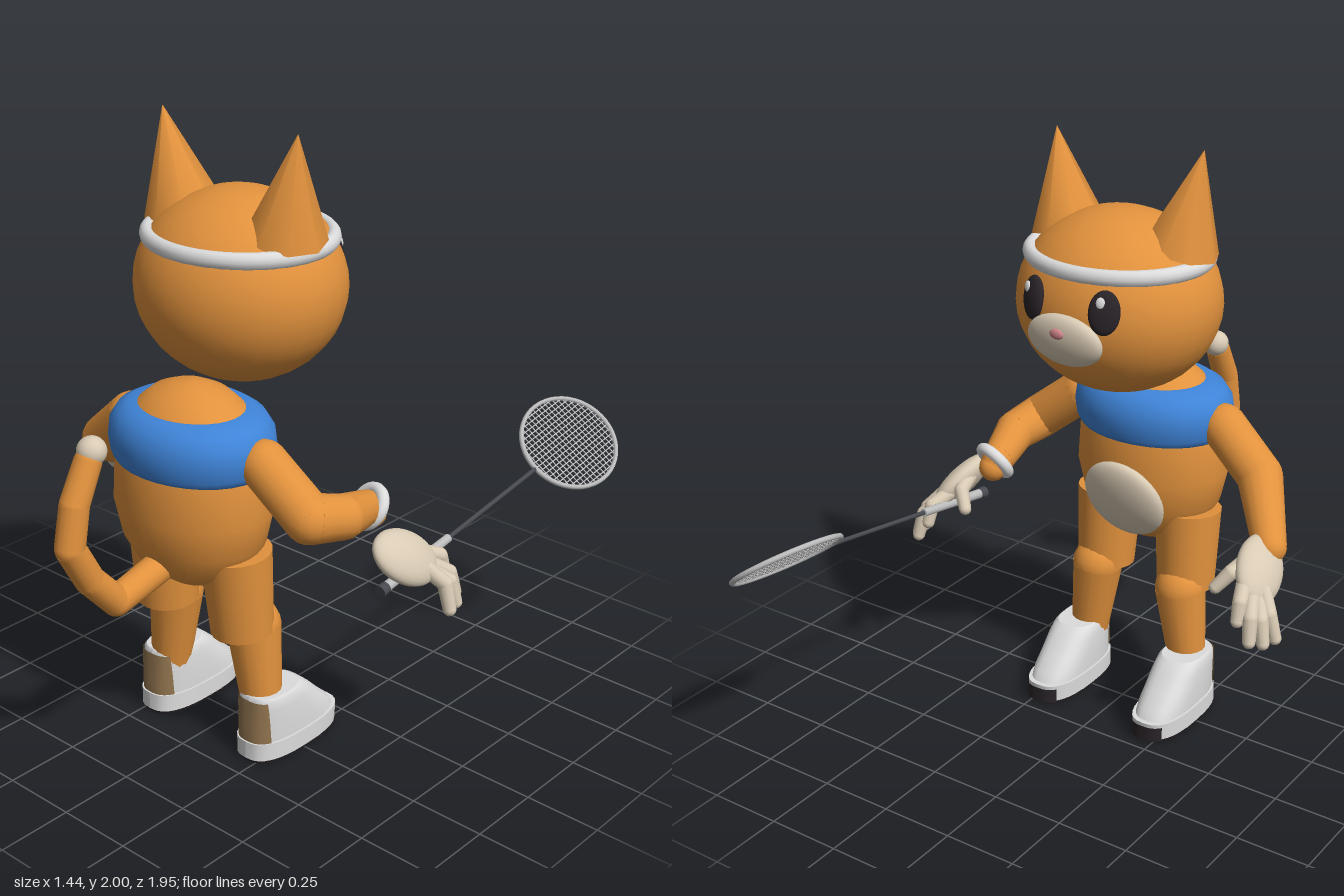
import * as THREE from 'three';
import { mergeGeometries } from 'three/addons/utils/BufferGeometryUtils.js';

const V = (x, y, z) => new THREE.Vector3(x, y, z);
const UP = V(0, 1, 0);

export function createModel() {
  const mat = (name, color, side = THREE.FrontSide) => {
    const m = new THREE.MeshStandardMaterial({ color, side });
    m.name = name;
    return m;
  };
  const orange = mat('orange fur', 0xe2923d);
  const blue = mat('blue collar', 0x3f84d8);
  const cream = mat('cream', 0xd8cab4);
  const white = mat('white', 0xdcdcdc);
  const black = mat('black', 0x2a2428);
  const pink = mat('pink', 0xd0848a);
  const tan = mat('heel tan', 0x937650, THREE.DoubleSide);
  const silver = mat('silver', 0xbcbcbc);
  const graphite = mat('graphite', 0x484a50);
  const red = mat('sole red', 0x8a2424);

  const model = new THREE.Group();
  const add = (name, geo, material, parent = model) => {
    const m = new THREE.Mesh(geo, material);
    m.name = name;
    parent.add(m);
    return m;
  };
  const group = (name, parent = model) => {
    const g = new THREE.Group();
    g.name = name;
    parent.add(g);
    return g;
  };
  const ball = (name, pos, radii, material, parent) => {
    const m = add(name, new THREE.SphereGeometry(1, 28, 20), material, parent);
    m.position.copy(pos);
    m.scale.copy(radii);
    return m;
  };
  // tapered round bar from a to b
  const bar = (a, b, r0, r1, seg = 16) => {
    const d = b.clone().sub(a);
    const g = new THREE.CylinderGeometry(r1, r0, d.length(), seg);
    g.applyQuaternion(new THREE.Quaternion().setFromUnitVectors(UP, d.clone().normalize()));
    const c = a.clone().add(b).multiplyScalar(0.5);
    return g.translate(c.x, c.y, c.z);
  };
  // bars joined by round joints
  const limb = (name, pts, radii, material, parent, seg = 16) => {
    const parts = [];
    pts.forEach((p, i) => {
      parts.push(new THREE.SphereGeometry(radii[i], seg, 10).translate(p.x, p.y, p.z));
      if (i) parts.push(bar(pts[i - 1], p, radii[i - 1], radii[i], seg));
    });
    return add(name, mergeGeometries(parts), material, parent);
  };
  // turned oval body part
  const turned = (name, profile, depth, material) => {
    const m = add(name, new THREE.LatheGeometry(profile.map(p => new THREE.Vector2(...p)), 32), material);
    m.scale.z = depth;
    m.position.z = 0.425;
  };

  // Torso, collar and belly
  turned('torso', [[0, 0.58], [0.1, 0.595], [0.19, 0.65], [0.245, 0.74], [0.27, 0.85], [0.262, 0.98],
    [0.24, 1.06], [0.205, 1.14], [0.175, 1.17], [0.13, 1.207], [0.06, 1.235], [0, 1.24]], 0.82, orange);
  turned('collar', [[0.2, 0.985], [0.258, 0.985], [0.274, 1.01], [0.282, 1.06], [0.276, 1.105],
    [0.25, 1.143], [0.21, 1.165], [0.16, 1.167]], 0.81, blue);
  ball('bellyPatch', V(0, 0.772, 0.245), V(0.152, 0.152, 0.05), cream).rotation.x = -0.32;

  // Head and face, looking toward -z
  const head = group('head');
  ball('skull', V(0, 1.495, 0.205), V(0.338, 0.297, 0.315), orange, head);
  const band = add('headband', new THREE.TorusGeometry(0.29, 0.024, 12, 48).rotateX(Math.PI / 2), white, head);
  band.scale.set(1, 1.12, 0.92);
  band.position.set(0, 1.649, 0.205);
  ball('muzzle', V(0, 1.445, -0.099), V(0.136, 0.088, 0.042), cream, head).rotation.x = -0.2;
  ball('nose', V(0, 1.478, -0.143), V(0.025, 0.017, 0.01), pink, head);
  for (const s of [-1, 1]) {
    const eye = group('eye', head);
    eye.position.set(s * 0.13, 1.552, -0.078);
    eye.rotation.set(0.17, -s * 0.42, 0);
    ball('pupil', V(0, 0, 0), V(0.05, 0.07, 0.022), black, eye);
    ball('eyeGlint', V(0.012, 0.032, -0.018), V(0.014, 0.018, 0.007), white, eye);
    add('ear', bar(V(s * 0.207, 1.685, 0.23), V(s * 0.27, 2, 0.25), 0.125, 0.001, 8), orange, head);
    add('innerEar', bar(V(s * 0.22, 1.73, 0.185), V(s * 0.261, 1.94, 0.228), 0.05, 0.001, 8), pink, head);
  }

  // Tail
  limb('tail', [V(0, 0.68, 0.56), V(0, 0.63, 0.76), V(0, 0.74, 0.86), V(0, 0.87, 0.93),
    V(0, 1, 0.905), V(0, 1.12, 0.845)], [0.05, 0.047, 0.046, 0.046, 0.045, 0.042], orange);
  ball('tailTip', V(0, 1.145, 0.83), V(0.045, 0.045, 0.045), cream);

  // Cylinder reshaped by rows of [height, back z, front z, half width]
  const loft = (rows, grow = 0, start = 0, length = Math.PI * 2, open = false) => {
    const g = new THREE.CylinderGeometry(1, 1, 1, 32, rows.length - 1, open, start, length);
    const p = g.attributes.position;
    const soft = v => Math.sign(v) * Math.abs(v) ** 0.75;
    for (let i = 0; i < p.count; i++) {
      const [y, zb, zf, w] = rows[Math.round((p.getY(i) + 0.5) * (rows.length - 1))];
      p.setXYZ(i, soft(p.getX(i)) * (w + grow), y, (zb + zf) / 2 + soft(p.getZ(i)) * ((zb - zf) / 2 + grow));
    }
    g.computeVertexNormals();
    return g;
  };

  // Legs and shoes
  const upper = [[0.065, 0.425, 0.055, 0.085], [0.1, 0.425, 0.075, 0.085], [0.14, 0.422, 0.12, 0.084],
    [0.185, 0.42, 0.165, 0.082], [0.215, 0.418, 0.2, 0.078], [0.225, 0.41, 0.22, 0.07]];
  for (const s of [-1, 1]) {
    add('thigh', bar(V(s * 0.158, 0.72, 0.405), V(s * 0.164, 0.44, 0.387), 0.113, 0.1, 20), orange);
    limb('shin', [V(s * 0.17, 0.44, 0.342), V(s * 0.202, 0.18, 0.342)], [0.088, 0.066], orange);
    const shoe = group('shoe');
    shoe.position.x = s * 0.217;
    add('shoeUpper', loft(upper), white, shoe);
    add('heelPatch', loft(upper.slice(0, 5), 0.004, -0.78, 1.56, true), tan, shoe);
    add('midsole', loft([[0.01, 0.435, 0.045, 0.092], [0.07, 0.435, 0.04, 0.092]]), white, shoe);
    add('outsole', loft([[0, 0.43, 0.045, 0.088], [0.011, 0.435, 0.04, 0.092]]), black, shoe);
    add('toeCap', loft([[0.008, 0.435, 0.04, 0.09], [0.06, 0.435, 0.04, 0.09]],
      0.004, Math.PI - 0.6, 1.2, true), black, shoe);
    for (const z of [0.13, 0.34]) {
      const pad = add('solePad', new THREE.CylinderGeometry(1, 1, 0.004, 24), red, shoe);
      pad.scale.set(0.05, 1, 0.065);
      pad.position.set(0, 0.001, z);
    }
  }

  // Arms
  limb('rightArm', [V(-0.28, 1.045, 0.41), V(-0.435, 0.915, 0.385), V(-0.58, 0.775, 0.2)],
    [0.076, 0.076, 0.055], orange);
  limb('leftArm', [V(0.28, 1.045, 0.41), V(0.445, 0.915, 0.395), V(0.475, 0.89, 0.28), V(0.435, 0.85, 0.12),
    V(0.44, 0.828, 0.1)], [0.076, 0.077, 0.07, 0.055, 0.048], orange);
  const wristband = add('wristband', new THREE.TorusGeometry(0.058, 0.02, 12, 32), white);
  wristband.position.set(0.437, 0.85, 0.108);
  wristband.lookAt(0.5, 0.71, -0.1);

  // Hands: flat palm, four fingers and a thumb
  const fingers = [
    [0.635, 0.69, 0.07, 0.7, 0.56, 0.035], [0.63, 0.675, 0.05, 0.685, 0.56, -0.015],
    [0.615, 0.685, 0.03, 0.655, 0.572, -0.05], [0.585, 0.715, 0.03, 0.61, 0.632, -0.05],
    [0.55, 0.76, 0.11, 0.495, 0.69, 0.01]];
  for (const s of [-1, 1]) {
    const hand = group(s > 0 ? 'leftHand' : 'rightHand');
    const along = V(s * 0.25, -0.45, -0.85).normalize();
    const thick = V(s * 0.8, 0.58, -0.1).cross(along).cross(along).negate().normalize();
    const palm = ball('palm', V(s * 0.59, 0.733, 0.12), V(0.09, 0.13, 0.045), cream, hand);
    palm.quaternion.setFromRotationMatrix(
      new THREE.Matrix4().makeBasis(along.clone().cross(thick), along, thick));
    for (const [ax, ay, az, bx, by, bz] of fingers) {
      const a = V(s * ax, ay, az), b = V(s * bx, by, bz);
      const mid = a.clone().lerp(b, 0.5).add(V(s * 0.01, 0.015, -0.02));
      limb('finger', [a, mid, b], [0.026, 0.025, 0.021], cream, hand, 12);
    }
  }

  // Racket: local y runs from butt to tip, local x across the head
  const racket = group('racket');
  const len = V(0, 0.16, -0.987).normalize();
  const across = V(0.8, -0.592, -0.096).normalize();
  racket.quaternion.setFromRotationMatrix(
    new THREE.Matrix4().makeBasis(across, len, across.clone().cross(len)));
  racket.position.set(0.575, 0.65, 0.22);
  add('gripEnd', bar(V(0, 0, 0), V(0, 0.03, 0), 0.021, 0.019), graphite, racket);
  add('grip', bar(V(0, 0.03, 0), V(0, 0.34, 0), 0.017, 0.014), silver, racket);
  add('shaft', bar(V(0, 0.33, 0), V(0, 0.82, 0), 0.0075, 0.0075, 10), graphite, racket);
  const cy = 1.01, rx = 0.165, ry = 0.195;
  const frame = add('frame', new THREE.TorusGeometry(1, 0.045, 8, 48), silver, racket);
  frame.scale.set(rx, ry, 0.2);
  frame.position.y = cy;
  const strings = [];
  for (let i = -9; i <= 9; i++) {
    const t = i / 10, half = Math.sqrt(1 - t * t);
    strings.push(new THREE.BoxGeometry(0.0035, 2 * ry * half, 0.003).translate(t * rx, cy, 0));
    strings.push(new THREE.BoxGeometry(2 * rx * half, 0.0035, 0.003).translate(0, cy + t * ry, 0));
  }
  add('strings', mergeGeometries(strings), silver, racket);

  return model;
}
